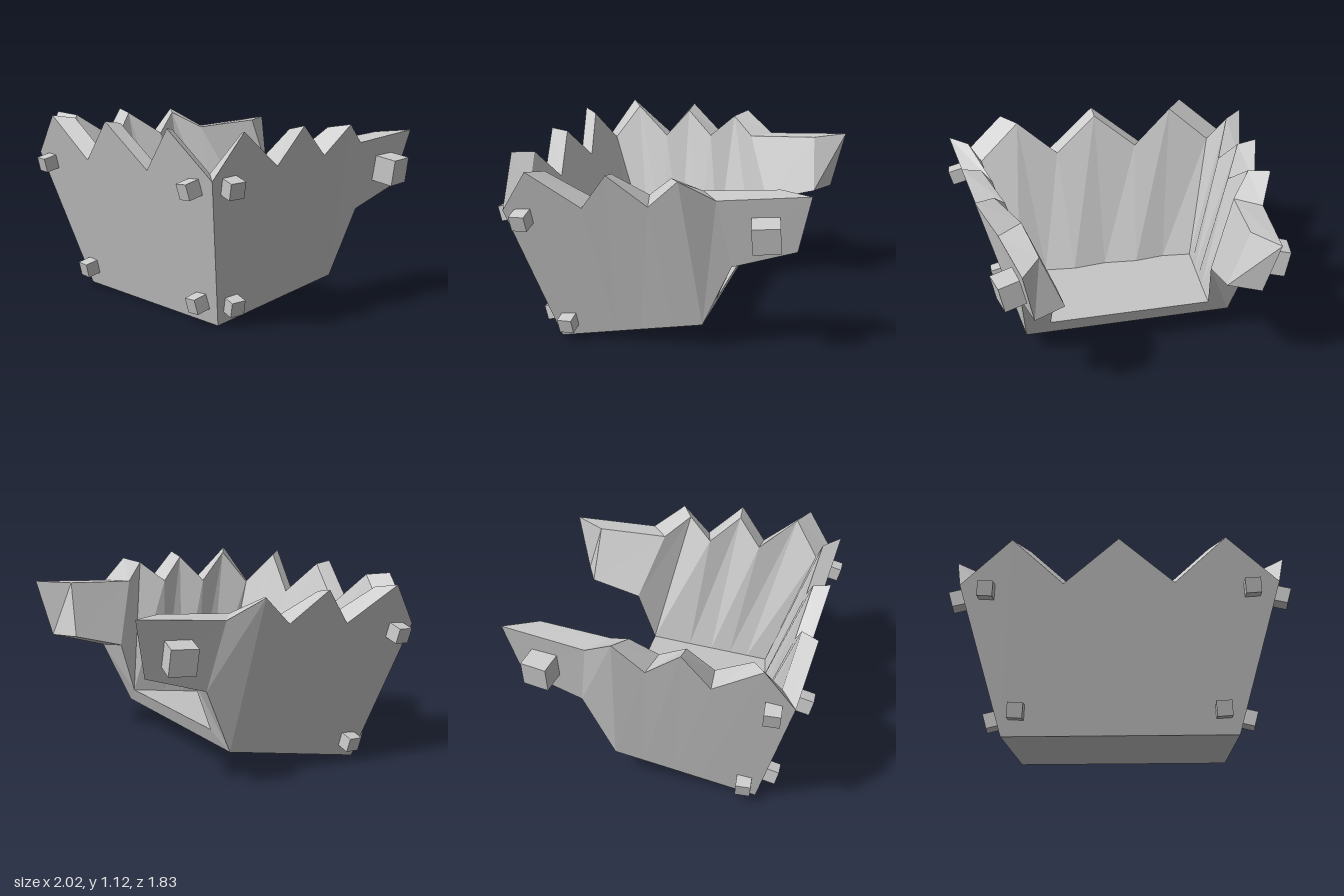
import * as THREE from 'three';

const material = new THREE.MeshStandardMaterial({ color: 0xcccccc, flatShading: true });

// Height of the sloping underside and of the floor above it, by depth z.
const under = (z) => 0.1875 * (0.6 - z);
const floor = (z) => 0.21 - 0.1875 * z;

// Cross-sections of the wall from front centre round to the rear wing tip:
// [outer bottom, outer top, inner top, inner bottom]
const sections = [
  [[0, 0, 0.6], [0, 1.125, 0.9], [0, 1.11, 0.795], [0, floor(0.48), 0.48]],
  [[0.22, 0, 0.6], [0.325, 0.865, 0.83], [0.27, 0.89, 0.735], [0.22, floor(0.45), 0.45]],
  [[0.45, 0, 0.6], [0.625, 1.125, 0.9], [0.525, 1.11, 0.795], [0.42, floor(0.48), 0.48]],
  [[0.68, 0, 0.6], [0.93, 0.865, 0.83], [0.785, 0.885, 0.735], [0.61, floor(0.45), 0.45]],
  [[0.676, under(0.43), 0.43], [0.985, 1.12, 0.66], [0.87, 1.1, 0.585], [0.593, floor(0.32), 0.32]],
  [[0.672, under(0.25), 0.25], [0.905, 0.91, 0.36], [0.75, 0.93, 0.35], [0.577, floor(0.2), 0.2]],
  [[0.668, under(0.1), 0.1], [0.945, 1.125, 0.2], [0.825, 1.1, 0.205], [0.56, floor(0.07), 0.07]],
  [[0.664, under(-0.1), -0.1], [0.875, 0.94, -0.02], [0.71, 0.96, 0.02], [0.54, floor(-0.08), -0.08]],
  [[0.66, under(-0.28), -0.28], [0.905, 1.11, -0.2], [0.785, 1.09, -0.13], [0.51, floor(-0.325), -0.325]],
  [[0.7, 0.565, -0.46], [0.8, 0.985, -0.39], [0.65, 0.99, -0.28], [0.48, 0.6, -0.43]],
  [[0.667, 0.68, -0.83], [0.73, 1.03, -0.91], [0.61, 1.02, -0.715], [0.48, 0.69, -0.745]],
];
const CORNER = 3, BACK = 8, TIP = 10;

const flip = ([x, y, z]) => [-x, y, z];

// Collects polygons as triangle fans; mirrored() adds the other side too.
function faceBuilder() {
  const positions = [];
  const add = (...p) => {
    for (let i = 1; i < p.length - 1; i++) positions.push(...p[0], ...p[i], ...p[i + 1]);
  };
  const mirrored = (...p) => {
    add(...p);
    add(...p.map(flip).reverse());
  };
  const mesh = (name) => {
    const geometry = new THREE.BufferGeometry();
    geometry.setAttribute('position', new THREE.Float32BufferAttribute(positions, 3));
    geometry.computeVertexNormals();
    const m = new THREE.Mesh(geometry, material);
    m.name = name;
    return m;
  };
  return { add, mirrored, mesh };
}

// Flared wall with a jagged rim and two rear wings
function makeWall() {
  const { mirrored, mesh } = faceBuilder();
  for (let i = 0; i < TIP; i++) {
    const a = sections[i], b = sections[i + 1];
    // The wings are closed underneath; elsewhere the floor closes the wall
    const sides = i >= BACK ? 4 : 3;
    for (let k = 0; k < sides; k++) {
      const n = (k + 1) % 4;
      mirrored(a[k], b[k], b[n], a[n]);
    }
  }
  const [ob, ot, it, ib] = sections[TIP];
  mirrored(ob, ib, it, ot);
  return mesh('jaggedWall');
}

// Sloping base plate with its rear edge
function makeBase() {
  const { add, mirrored, mesh } = faceBuilder();
  const front = sections[CORNER], back = sections[BACK];
  add(front[0], flip(front[0]), flip(back[0]), back[0]);
  add(back[0], flip(back[0]), flip(back[3]), back[3]);
  // Inner floor, with shallow points along the front
  for (let i = CORNER; i < BACK; i++) {
    const a = sections[i][3], b = sections[i + 1][3];
    add(a, b, flip(b), flip(a));
  }
  mirrored(sections[1][3], sections[2][3], sections[3][3]);
  mirrored([0, floor(0.45), 0.45], sections[0][3], sections[1][3]);
  return mesh('basePlate');
}

// Square studs: name, centre, outward direction, size
const studs = [
  ['frontUpperStud', [0.77, 0.81, 0.86], [0, -0.26, 0.97], 0.09],
  ['frontLowerStud', [0.59, 0.125, 0.675], [0, -0.26, 0.97], 0.09],
  ['sideUpperStud', [0.95, 0.825, 0.71], [0.96, -0.27, 0.05], 0.095],
  ['sideLowerStud', [0.74, 0.12, 0.535], [0.96, -0.27, 0.05], 0.09],
  ['wingStud', [0.775, 0.805, -0.67], [0.96, -0.18, -0.2], 0.16],
];

function makeStud(name, centre, direction, size, side) {
  const stud = new THREE.Mesh(new THREE.BoxGeometry(size, size, size), material);
  const mirror = new THREE.Vector3(side, 1, 1);
  stud.name = name;
  stud.position.set(...centre).multiply(mirror);
  stud.lookAt(new THREE.Vector3(...direction).multiply(mirror).add(stud.position));
  stud.rotateZ(side * 0.06);
  return stud;
}

export function createModel() {
  const model = new THREE.Group();
  model.name = 'spikedGuard';
  model.add(makeWall(), makeBase());
  for (const [name, centre, direction, size] of studs) {
    for (const side of [1, -1]) {
      const label = (side > 0 ? 'left' : 'right') + name[0].toUpperCase() + name.slice(1);
      model.add(makeStud(label, centre, direction, size, side));
    }
  }
  return model;
}
